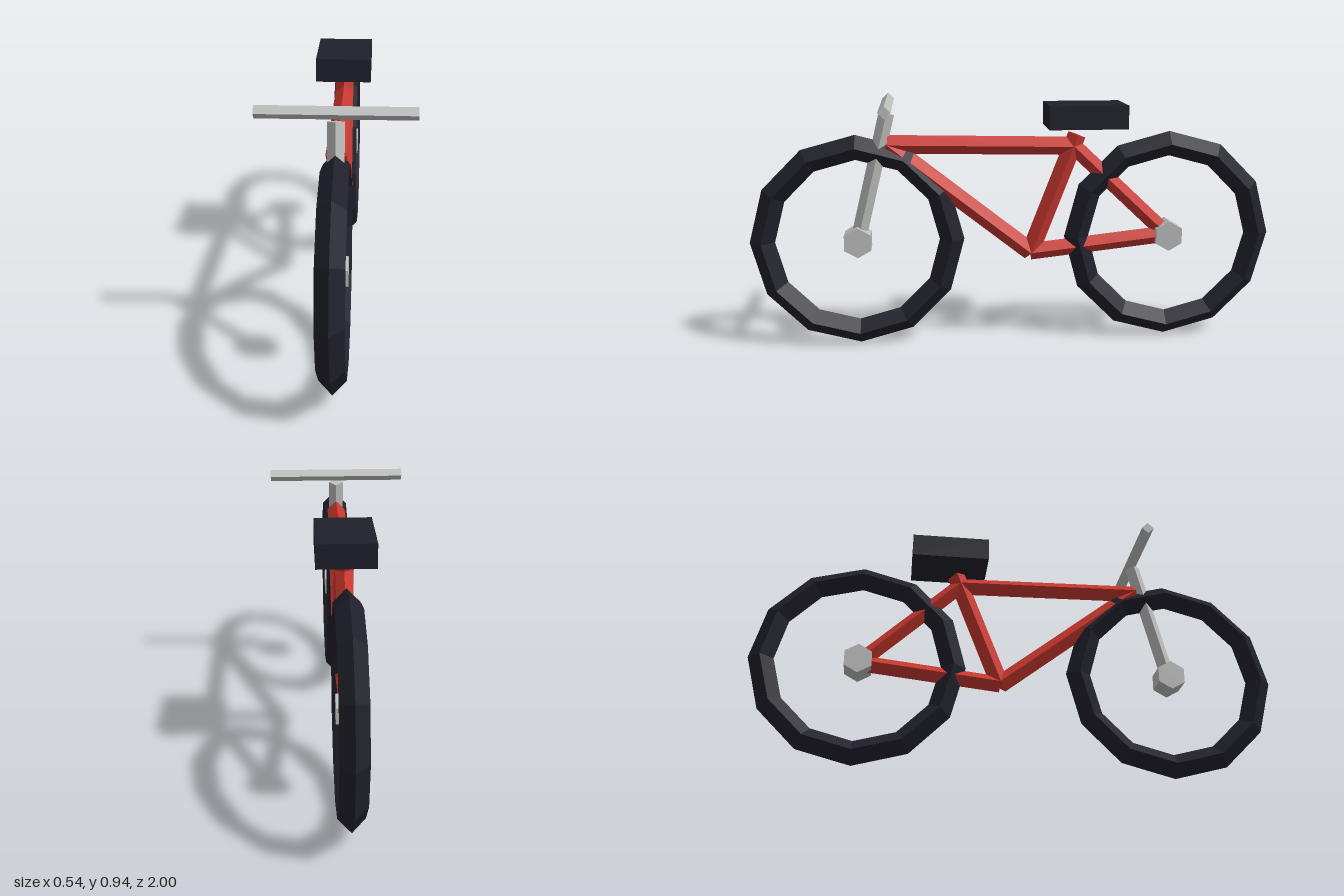
import * as THREE from 'three';

export function createModel() {
  const model = new THREE.Group();
  model.name = 'bicycle';

  const paint = (name, color) => {
    const m = new THREE.MeshStandardMaterial({ color, flatShading: true });
    m.name = name;
    return m;
  };
  const red = paint('frameRed', 0xc8372f);
  const black = paint('rubberBlack', 0x20202b);
  const silver = paint('metalSilver', 0xbcbebc);

  const add = (name, geometry, material, x, y, z) => {
    const mesh = new THREE.Mesh(geometry, material);
    mesh.name = name;
    mesh.position.set(x, y, z);
    model.add(mesh);
    return mesh;
  };

  // Four-sided bar between two [z, y] points of the centre plane
  const UP = new THREE.Vector3(0, 1, 0);
  const bar = (name, from, to, radius, material) => {
    const a = new THREE.Vector3(0, from[1], from[0]);
    const b = new THREE.Vector3(0, to[1], to[0]);
    const dir = b.clone().sub(a);
    const geometry = new THREE.CylinderGeometry(radius, radius, dir.length(), 4);
    const mid = a.add(b).multiplyScalar(0.5);
    const mesh = add(name, geometry, material, mid.x, mid.y, mid.z);
    mesh.quaternion.setFromUnitVectors(UP, dir.normalize());
  };

  // Joints of the frame as [z, y]
  const frontAxle = [0.597, 0.405];
  const rearAxle = [-0.597, 0.405];
  const head = [0.478, 0.772];
  const crank = [-0.062, 0.347];
  const seatJoint = [-0.225, 0.757];
  const seatTop = [-0.238, 0.8];

  // Wheels: diamond-section tyre and hexagonal hub
  for (const [side, [z, y]] of [['front', frontAxle], ['rear', rearAxle]]) {
    const tyre = add(side + 'Tyre', new THREE.TorusGeometry(0.357, 0.047, 4, 12), black, 0, y, z);
    tyre.rotation.y = Math.PI / 2;
    const hub = new THREE.CylinderGeometry(0.058, 0.058, 0.09, 6, 1, false, Math.PI / 6);
    add(side + 'Hub', hub, silver, 0, y, z).rotation.z = Math.PI / 2;
  }

  // Frame
  bar('topTube', head, seatJoint, 0.035, red);
  bar('downTube', head, crank, 0.035, red);
  bar('seatTube', crank, seatTop, 0.035, red);
  bar('chainStay', crank, rearAxle, 0.033, red);
  bar('seatStay', seatJoint, rearAxle, 0.031, red);

  // Steering
  bar('fork', frontAxle, [0.477, 0.888], 0.029, silver);
  const handlebar = new THREE.CylinderGeometry(0.023, 0.023, 0.535, 4);
  add('handlebar', handlebar, silver, 0, 0.918, 0.477).rotation.z = Math.PI / 2;

  // Saddle
  add('saddle', new THREE.BoxGeometry(0.208, 0.088, 0.295), black, 0, 0.874, -0.268);

  return model;
}
